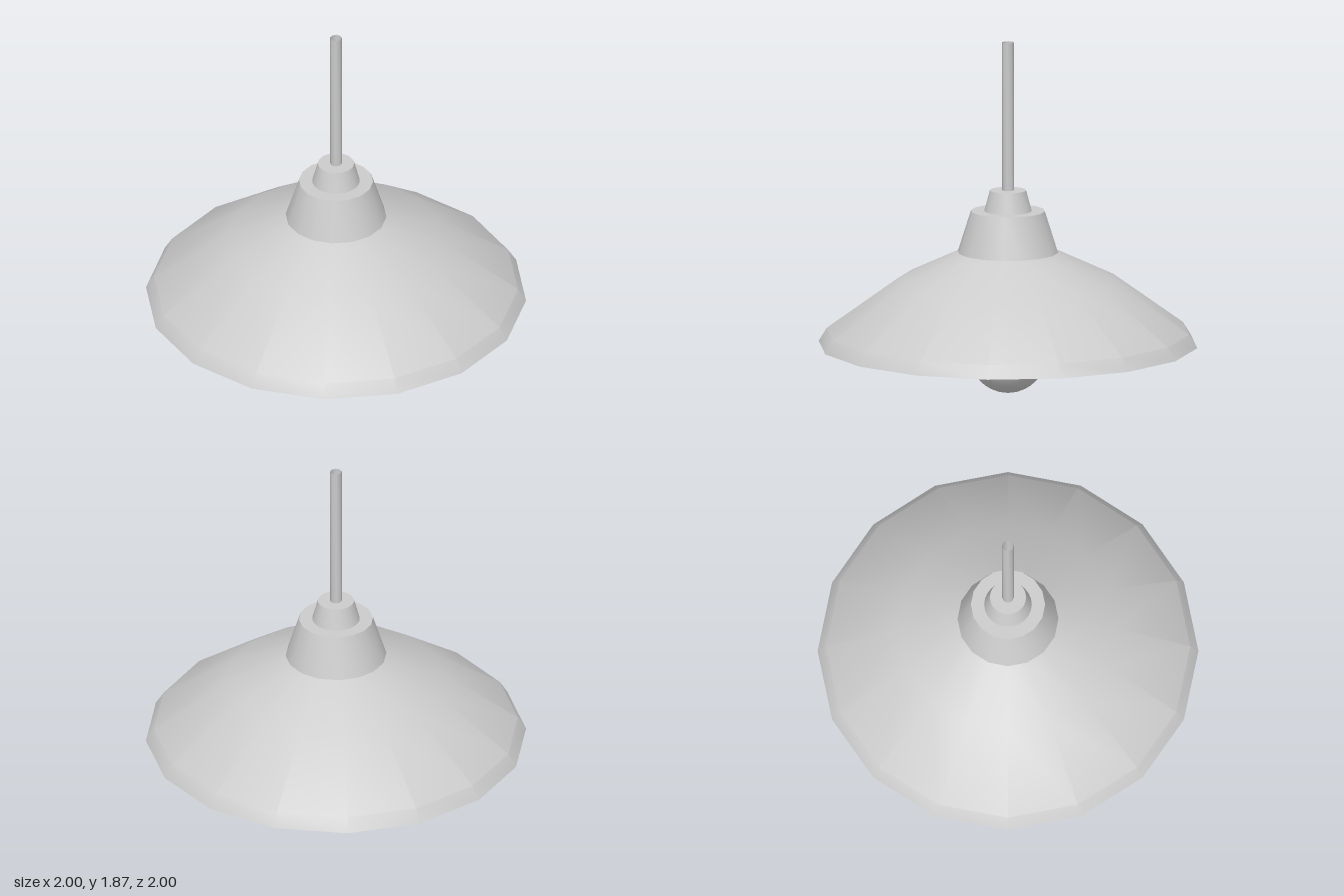
import * as THREE from 'three';
import { toCreasedNormals } from 'three/addons/utils/BufferGeometryUtils.js';

const material = new THREE.MeshStandardMaterial({ color: 0xcccccc, side: THREE.DoubleSide });

// Turned part from [radius, height] points, listed bottom to top on the outside
function turned(name, points, sides, crease = 0.7) {
  const profile = points.map(([r, y]) => new THREE.Vector2(r, y));
  const geometry = toCreasedNormals(new THREE.LatheGeometry(profile, sides), crease);
  const mesh = new THREE.Mesh(geometry, material);
  mesh.name = name;
  return mesh;
}

export function createModel() {
  const lamp = new THREE.Group();
  lamp.name = 'pendantLamp';

  // Shade: flat inner ceiling, inner surface down to the rim, then up the outside
  lamp.add(turned('shade', [
    [0, 0.635], [0.28, 0.635], [0.565, 0.535], [0.92, 0.305], [0.955, 0.255],
    [1, 0.255], [0.957, 0.325], [0.575, 0.603], [0.26, 0.752],
  ], 16, 0.45));

  // Neck: tapered collar standing on the shade
  lamp.add(turned('neck', [[0.265, 0.75], [0.195, 0.97], [0, 0.97]], 16));

  // Cap and open-ended cord above the neck
  lamp.add(turned('cap', [[0.125, 0.97], [0.095, 1.08], [0, 1.08]], 24));
  lamp.add(turned('cord', [[0.031, 1.08], [0.031, 1.87]], 8, 0.9));

  // Socket: hollow collar under the ceiling, with a narrower lip inside
  lamp.add(turned('socket', [
    [0.108, 0.635], [0.108, 0.555], [0.122, 0.555], [0.122, 0.57],
    [0.138, 0.57], [0.138, 0.61], [0.125, 0.61], [0.125, 0.635],
  ], 24));

  // Bulb: round globe flowing into a narrow stem
  const globe = [];
  for (let i = 0; i <= 14; i++) {
    const a = (i / 14) * 2.25;
    globe.push([0.205 * Math.sin(a), 0.205 - 0.205 * Math.cos(a)]);
  }
  lamp.add(turned('bulb', [
    ...globe, [0.14, 0.39], [0.122, 0.44], [0.112, 0.485], [0.108, 0.525], [0.095, 0.54], [0.095, 0.635],
  ], 32));

  return lamp;
}
